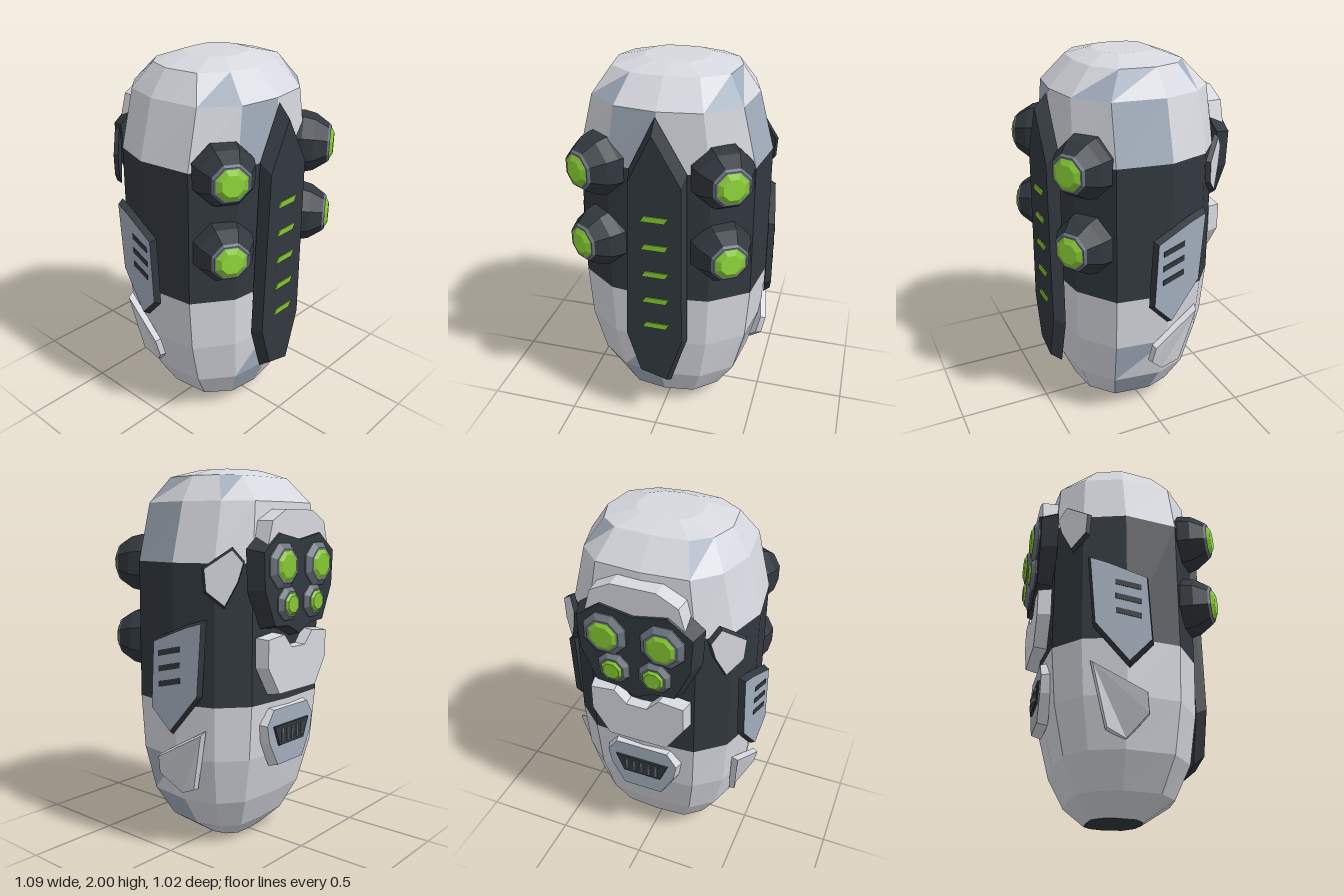
import * as THREE from 'three';

const mat = (name, color) => Object.assign(new THREE.MeshStandardMaterial({ color }), { name });

export function createModel() {
  const root = new THREE.Group();
  root.name = 'armouredCapsule';
  const light = mat('light grey', 0xd6d8df), blue = mat('blue grey', 0xa2adbc);
  const dark = mat('charcoal', 0x31383e), rim = mat('rim grey', 0x6c747e);
  const green = mat('lime', 0x84c832), bright = mat('bright lime', 0x92dc3c);

  // Adds a flat-faced mesh placed by position, yaw and pitch; optionally mirrored across x
  function add(name, geo, material, pos = [0, 0, 0], yaw = 0, pitch = 0, mirror = false) {
    const m = new THREE.Matrix4().compose(new THREE.Vector3(...pos),
      new THREE.Quaternion().setFromEuler(new THREE.Euler(pitch, yaw, 0, 'YXZ')), new THREE.Vector3(1, 1, 1));
    const g = (geo.index ? geo.toNonIndexed() : geo.clone()).applyMatrix4(m);
    const put = (g, n) => {
      g.computeVertexNormals();
      const mesh = new THREE.Mesh(g, material);
      mesh.name = n;
      root.add(mesh);
    };
    put(g, name);
    if (!mirror) return;
    const h = g.clone(), p = h.attributes.position, a = new THREE.Vector3(), b = new THREE.Vector3();
    h.scale(-1, 1, 1);
    for (let i = 0; i < p.count; i += 3) {
      a.fromBufferAttribute(p, i + 1);
      b.fromBufferAttribute(p, i + 2);
      p.setXYZ(i + 1, b.x, b.y, b.z);
      p.setXYZ(i + 2, a.x, a.y, a.z);
    }
    put(h, name + 'Mirrored');
  }

  function triangles(list) {
    const g = new THREE.BufferGeometry();
    g.setAttribute('position', new THREE.Float32BufferAttribute(list.flat(2), 3));
    return g;
  }

  // Bevelled slab facing +z, bowed back by bend * y²; group 0 is the face, group 1 the sides and back
  function slab(outline, depth, inset = 0.08, bend = 0) {
    const pts = outline.map(p => new THREE.Vector2(...p));
    if (THREE.ShapeUtils.isClockWise(pts)) pts.reverse();
    const n = pts.length, c = new THREE.Vector2();
    pts.forEach(p => c.addScaledVector(p, 1 / n));
    const top = pts.map(p => { const q = p.clone().lerp(c, inset); return [q.x, q.y, depth - bend * q.y * q.y]; });
    const low = pts.map(p => [p.x, p.y, -bend * p.y * p.y]);
    const tri = THREE.ShapeUtils.triangulateShape(pts, []);
    const list = tri.map(t => t.map(i => top[i]));
    const faceCount = list.length * 3;
    tri.forEach(([i, j, k]) => list.push([low[i], low[k], low[j]]));
    for (let i = 0; i < n; i++) {
      const j = (i + 1) % n;
      list.push([low[i], low[j], top[j]], [low[i], top[j], top[i]]);
    }
    const g = triangles(list);
    g.addGroup(0, faceCount, 0);
    g.addGroup(faceCount, list.length * 3 - faceCount, 1);
    return g;
  }
  const sym = half => [...half, ...half.filter(p => p[0] !== 0).map(([x, y]) => [-x, y]).reverse()];

  // Eight-sided ring along +z
  const cone = (r0, r1, z0, z1, open = true) => new THREE.CylinderGeometry(r1, r0, z1 - z0, 8, 1, open)
    .rotateY(Math.PI / 8).rotateX(Math.PI / 2).translate(0, 0, (z0 + z1) / 2);

  // Body: twelve-sided rings [y, half width, front z, back z]
  const rings = [[0, .165, .155, .135], [.1, .31, .31, .235], [.27, .415, .385, .315], [.52, .48, .415, .375],
    [.81, .5, .42, .4], [1.53, .495, .42, .4], [1.83, .415, .405, .375], [1.96, .325, .275, .25], [2, .165, .156, .14]];
  const half = [[0, 1], [.53, .92], [.92, .58], [1, -.1], [.86, -.64], [.57, -.95], [0, -1]];
  const plan = [...half, ...half.slice(1, 6).reverse().map(([x, z]) => [-x, z])];
  const ringPts = rings.map(([y, w, f, b]) => plan.map(([x, z]) => [x * w, y, z * (z > 0 ? f : b)]));
  // Blue facets: whole quads as 'ring,side', half quads with a triangle number
  const facets = new Set(['5,11', '1,11', '5,2', '1,2', '6,2,1', '6,1,0', '6,10,0', '6,4,1', '6,7,1', '2,11,0', '2,2,1']);
  const shell = [], facet = [], band = [];
  for (let r = 0; r < 8; r++) for (let i = 0; i < 12; i++) {
    const j = (i + 1) % 12, [a, b, c, d] = [ringPts[r][i], ringPts[r][j], ringPts[r + 1][j], ringPts[r + 1][i]];
    [[a, b, c], [a, c, d]].forEach((t, k) => {
      const isBlue = facets.has(`${r},${i}`) || facets.has(`${r},${i},${k}`);
      (r === 4 ? band : isBlue ? facet : shell).push(t);
    });
  }
  const base = [];
  for (let i = 0; i < 12; i++) {
    const j = (i + 1) % 12;
    shell.push([[0, 2, 0], ringPts[8][i], ringPts[8][j]]);
    base.push([[0, 0, 0], ringPts[0][j], ringPts[0][i]]);
  }
  add('bodyShell', triangles(shell), light);
  add('bodyFacets', triangles(facet), blue);
  add('bodyBand', triangles(band), dark);
  add('bodyBase', triangles(base), dark);

  // Front spine with slanted lights
  const spine = [[0, 1.81], [.155, 1.54], [.16, .56], [.07, .265], [-.09, .31], [-.17, .57], [-.135, 1.54]];
  add('frontSpine', slab(spine, .065, .08), [dark, dark], [0, 0, .418]);
  for (let i = 0; i < 5; i++)
    add('spineLight', slab([[-.065, -.013], [.06, -.013], [.08, .018], [-.045, .018]], .008, 0), [green, green],
      [0, 1.305 - i * .158, .481]);

  // Front lamp pods
  for (const y of [1.515, 1.11]) {
    const put = (name, geo, m) => add(name, geo, m, [.31, y, .335], .55, 0, true);
    put('podBase', cone(.165, .165, -.06, .01), dark);
    put('podMiddle', cone(.165, .15, .01, .07), dark);
    put('podNeck', cone(.15, .103, .07, .14), dark);
    put('podRim', cone(.103, .092, .14, .152, false), rim);
    put('podLensEdge', cone(.086, .056, .15, .168), green);
    put('podLens', new THREE.CircleGeometry(.056, 8, Math.PI / 8).translate(0, 0, .168), bright);
  }

  // Large slotted side panels
  const q = Math.PI / 2;
  add('sidePanel', slab([[.24, 1.26], [.14, 1.23], [-.07, 1.145], [-.09, .775], [.03, .65], [.21, .865]], .035, .07),
    [blue, dark], [.5, 0, 0], q + .16, 0, true);
  for (const y of [1.085, 1.005, .925])
    add('sideSlot', slab([[-.02, y - .025], [.11, y + .005], [.11, y + .035], [-.02, y + .005]], .006, 0),
      [dark, dark], [.533, 0, .005], q + .16, 0, true);

  // Lower side plates
  add('lowerSidePlate', slab([[.16, .185], [-.12, .03], [-.13, -.075], [-.02, -.2], [.08, -.15]], .03, .06, 1.3),
    [light, light], [.483, .5, -.06], q + .12, .16, true);

  // Rear corner plates
  add('cornerPlate', slab([[.06, .15], [.12, .08], [.09, -.02], [.02, -.15], [-.08, -.07], [-.09, .05]], .024, .1),
    [light, dark], [.42, 1.46, -.288], q * 1.5, 0, true);

  // Rear cowl and lamp panel
  add('rearCowl', slab(sym([[.12, 1.795], [.235, 1.735], [.275, 1.6]]), .15, .05), [light, light], [0, 0, -.305], 2 * q);
  add('rearLampPanel', slab(sym([[0, 1.665], [.19, 1.7], [.33, 1.6], [.32, 1.4], [.23, 1.2], [.1, 1.19], [0, 1.14]]),
    .09, .09), [dark, dark], [0, 0, -.375], 2 * q);
  for (const [x, y, r] of [[.15, 1.515, .12], [.11, 1.325, .09]]) {
    const put = (name, geo, m) => add(name, geo, m, [x, y, -.46], 2 * q, 0, true);
    put('rearLampFoot', cone(r, r, -.03, .012), rim);
    put('rearLampRim', cone(r, r * .75, .012, .035, false), rim);
    put('rearLampLensEdge', cone(r * .66, r * .5, .034, .046), green);
    put('rearLampLens', new THREE.CircleGeometry(r * .5, 8, Math.PI / 8).translate(0, 0, .046), green);
  }

  // Rear armour plate with notched top
  add('rearPlate', slab(sym([[.06, 1.1], [.13, 1.175], [.27, 1.16], [.27, 1.01], [.17, .855]]), .07, .06),
    [light, light], [0, 0, -.39], 2 * q);

  // Rear vent
  add('ventPlate', slab(sym([[.16, .785], [.22, .7], [.2, .6], [.12, .455]]), .055, .08), [blue, light],
    [0, 0, -.363], 2 * q);
  add('ventOpening', slab(sym([[.155, .685], [.11, .575]]), .012, .03), [dark, dark], [0, 0, -.416], 2 * q);
  for (let i = -2; i <= 2; i++)
    add('ventSlat', new THREE.BoxGeometry(.014, .075, .008), rim, [i * .043, .63, -.43]);

  return root;
}
